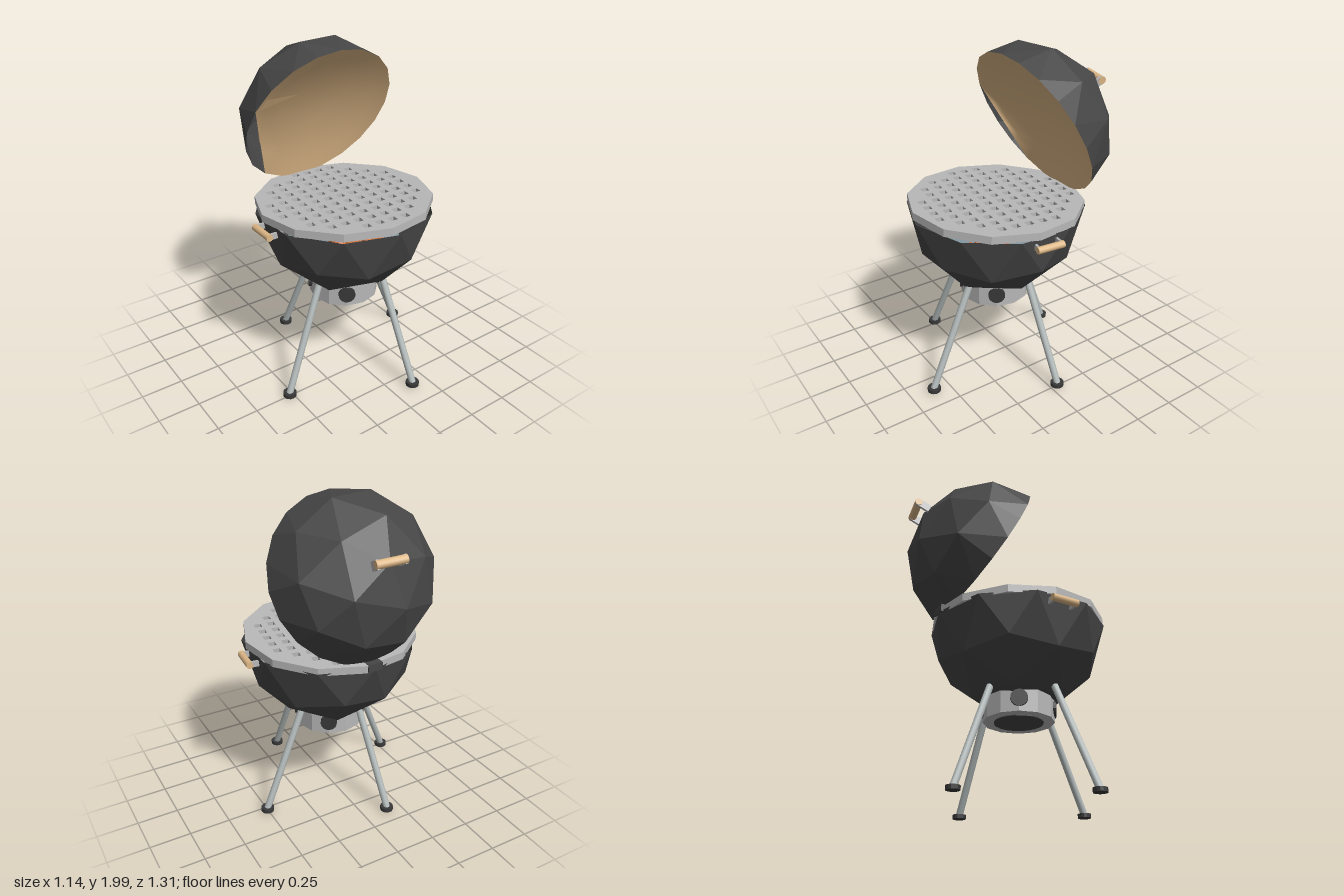
import * as THREE from 'three';
import { mergeVertices } from 'three/addons/utils/BufferGeometryUtils.js';

const mat = (color, smooth = false) =>
  new THREE.MeshStandardMaterial({ color, flatShading: !smooth, side: THREE.DoubleSide });
const charcoal = mat(0x464646);
const steel = mat(0xb8b8b8);
const tube = mat(0xb4bcbb, true);
const wood = mat(0xdeb887, true);
const rubber = mat(0x383838);
const ash = mat(0x8498a2);
const ember = mat(0xd9743c);

const V = (x, y, z) => new THREE.Vector3(x, y, z);

function add(parent, name, geometry, material, x = 0, y = 0, z = 0) {
  const mesh = new THREE.Mesh(geometry, material);
  mesh.name = name;
  mesh.position.set(x, y, z);
  parent.add(mesh);
  return mesh;
}

// Round bar between two points.
function bar(parent, name, a, b, r, material, sides = 12) {
  const dir = b.clone().sub(a);
  const mesh = add(parent, name, new THREE.CylinderGeometry(r, r, dir.length(), sides), material);
  mesh.position.copy(a).add(b).multiplyScalar(0.5);
  mesh.quaternion.setFromUnitVectors(V(0, 1, 0), dir.normalize());
  return mesh;
}

// Faceted half ball: keeps the faces above (sign 1) or below (sign -1) the equator.
// With roundRim, each rim edge is split and its middle pushed out to the full radius.
function halfBall(radius, sign, roundRim = false) {
  const ball = new THREE.IcosahedronGeometry(radius, 1);
  ball.rotateZ(Math.PI / 2 - Math.atan2((1 + Math.sqrt(5)) / 2, 1)); // a corner at the pole
  const p = ball.attributes.position;
  const points = [];
  for (let i = 0; i < p.count; i += 3) {
    const t = [0, 1, 2].map((k) => V(0, 0, 0).fromBufferAttribute(p, i + k));
    if ((t[0].y + t[1].y + t[2].y) * sign < 0) continue;
    const k = [0, 1, 2].find((n) => Math.abs(t[n].y) + Math.abs(t[(n + 1) % 3].y) < 1e-4);
    if (roundRim && k !== undefined) {
      const a = t[k], b = t[(k + 1) % 3], c = t[(k + 2) % 3];
      const m = a.clone().add(b).setLength(radius);
      points.push(a, m, c, m, b, c);
    } else points.push(...t);
  }
  const g = new THREE.BufferGeometry().setFromPoints(points);
  g.computeVertexNormals();
  return g;
}

// Shallow smooth dish closing the lid, cut straight along one side.
function makeLining(R) {
  let g = new THREE.RingGeometry(0, R, 20, 5);
  g.rotateX(Math.PI / 2);
  const cut = V(Math.cos(Math.PI * 1.1), 0, Math.sin(Math.PI * 1.1));
  const p = g.attributes.position;
  for (let i = 0; i < p.count; i++) {
    const v = V(0, 0, 0).fromBufferAttribute(p, i);
    const depth = 0.08 * (1 - v.lengthSq() / (R * R));
    v.addScaledVector(cut, -Math.max(0, v.dot(cut) - R * 0.81));
    p.setXYZ(i, v.x, depth, v.z);
  }
  g.deleteAttribute('normal');
  g.deleteAttribute('uv');
  g = mergeVertices(g, 1e-4);
  g.computeVertexNormals();
  return g;
}

function makeLid() {
  const lid = new THREE.Group();
  lid.name = 'lid';
  const R = 0.49;
  const shell = halfBall(R, 1, true);
  shell.scale(1, 0.9, 1);
  add(lid, 'lidShell', shell, charcoal);
  add(lid, 'lidLining', makeLining(R), wood);

  // Folded flap of lining beside the cut
  const fold = new THREE.BufferGeometry().setFromPoints([
    V(-0.465, 0.005, 0.14), V(-0.18, 0.03, 0.19), V(-0.43, 0.005, 0.22)]);
  fold.computeVertexNormals();
  add(lid, 'liningFold', fold, wood);

  // Handle on the crown, slightly askew
  const handle = new THREE.Group();
  handle.name = 'lidHandle';
  bar(handle, 'grip', V(-0.085, 0, 0), V(0.085, 0, 0), 0.024, wood);
  for (const x of [-0.075, 0.075]) {
    add(handle, 'post', new THREE.BoxGeometry(0.014, 0.085, 0.05), steel, x, -0.035, 0);
  }
  handle.position.set(0.025, 0.49, 0);
  handle.rotation.z = -0.17;
  lid.add(handle);

  lid.position.set(0.01, 1.53, -0.185);
  lid.rotation.x = -1.107;
  return lid;
}

function makeGrate() {
  const shape = new THREE.Shape();
  for (let i = 0; i < 12; i++) {
    const a = (i * Math.PI) / 6;
    shape[i ? 'lineTo' : 'moveTo'](0.525 * Math.cos(a), 0.525 * Math.sin(a));
  }
  shape.closePath();
  const h = 0.0215;
  for (let i = -6; i <= 6; i++) {
    for (let j = -6; j <= 6; j++) {
      const x = i * 0.083 - 0.022, y = j * 0.085;
      if (Math.hypot(x, y) > 0.46) continue;
      const hole = new THREE.Path();
      hole.moveTo(x - h, y - h).lineTo(x - h, y + h).lineTo(x + h, y + h).lineTo(x + h, y - h);
      hole.closePath();
      shape.holes.push(hole);
    }
  }
  const g = new THREE.ExtrudeGeometry(shape, { depth: 0.046, bevelEnabled: false });
  g.rotateX(-Math.PI / 2);
  g.rotateY(-0.1);
  return g;
}

export function createModel() {
  const grill = new THREE.Group();
  grill.name = 'kettleGrill';
  const cz = 0.07;

  // Bowl, ash bed and embers
  const bowl = add(grill, 'bowl', halfBall(0.53, -1), charcoal, 0, 1.08, cz);
  bowl.rotation.x = -0.012;
  add(grill, 'ashBed', new THREE.CylinderGeometry(0.36, 0.36, 0.01, 10), ash, 0, 0.8, cz);
  for (let i = 0; i < 9; i++) {
    const a = i * 2.4, r = 0.05 * Math.sqrt(i);
    const coal = add(grill, 'ember', new THREE.IcosahedronGeometry(0.05, 0), ember,
      0.03 + r * Math.cos(a), 0.82, 0.14 + r * Math.sin(a));
    coal.rotation.set(i, i * 2, 0);
  }

  // Cooking grate, slightly raised at the front
  const grate = add(grill, 'grate', makeGrate(), steel, 0, 1.076, cz);
  grate.rotation.x = -0.035;

  // Lid and hinge
  grill.add(makeLid());
  add(grill, 'hinge', new THREE.BoxGeometry(0.09, 0.045, 0.05), charcoal, 0, 1.085, -0.435);

  // Side handles
  for (const side of [-1, 1]) {
    const handle = new THREE.Group();
    handle.name = side > 0 ? 'leftHandle' : 'rightHandle';
    bar(handle, 'grip', V(0, 0, -0.083), V(0, 0, 0.083), 0.021, wood);
    for (const z of [-0.07, 0.07]) {
      add(handle, 'bracket', new THREE.BoxGeometry(0.09, 0.035, 0.014), steel, -side * 0.045, 0, z);
    }
    handle.position.set(side * 0.547, 1.033, side > 0 ? 0.075 : 0.056);
    handle.rotation.y = side > 0 ? -0.1 : 0;
    grill.add(handle);
  }

  // Ash pan with four round vents and a dark bottom opening
  const pan = new THREE.Group();
  pan.name = 'ashPan';
  add(pan, 'panBody', new THREE.CylinderGeometry(0.21, 0.21, 0.155, 12), steel);
  add(pan, 'panOpening', new THREE.CylinderGeometry(0.145, 0.145, 0.01, 20), charcoal, 0, -0.077, 0);
  for (let i = 0; i < 4; i++) {
    const a = Math.PI / 6 + (i * Math.PI) / 2;
    const d = V(Math.cos(a), 0, Math.sin(a));
    bar(pan, 'vent', d.clone().multiplyScalar(0.19), d.clone().multiplyScalar(0.217), 0.05, rubber, 16);
  }
  pan.position.set(-0.005, 0.567, 0.077);
  grill.add(pan);

  // Splayed legs: foot x, z, foot height, then top x, z
  const legs = [
    [0.13, 0.61, 0.035, 0.1, 0.32],
    [-0.52, 0.245, 0.018, -0.245, 0.17],
    [0.505, -0.04, 0.03, 0.225, 0.0],
    [-0.15, -0.4, 0.03, -0.08, -0.15],
  ];
  for (const [fx, fz, fy, tx, tz] of legs) {
    bar(grill, 'leg', V(fx, fy, fz), V(tx, 0.66, tz), 0.021, tube);
    add(grill, 'foot', new THREE.CylinderGeometry(0.04, 0.04, 0.024, 14), rubber, fx, fy - 0.005, fz);
  }
  return grill;
}
